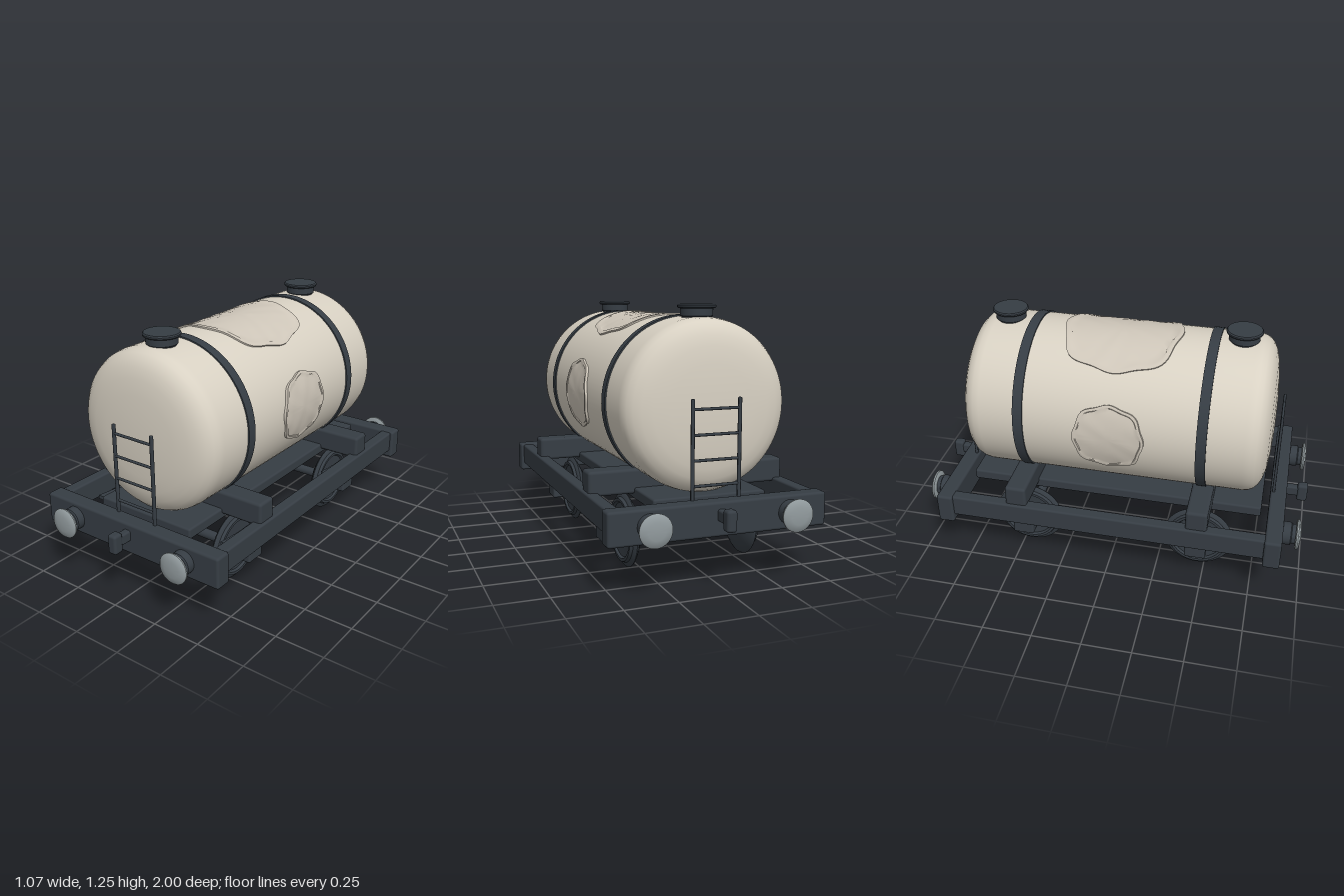
import * as THREE from 'three';
import { RoundedBoxGeometry } from 'three/addons/geometries/RoundedBoxGeometry.js';
import { toCreasedNormals } from 'three/addons/utils/BufferGeometryUtils.js';

const material = (name, color, side = THREE.FrontSide) => {
  const m = new THREE.MeshStandardMaterial({ color, side });
  m.name = name;
  return m;
};

export function createModel() {
  const cream = material('cream tank', 0xd8d1c3);
  const label = material('pale label', 0xcec6b9, THREE.DoubleSide);
  const iron = material('dark iron', 0x363d44);
  const steel = material('buffer steel', 0x929b9e);
  const model = new THREE.Group();
  const TANK_Y = 0.797, TANK_R = 0.405, AXLE_Z = 0.46;

  function add(parent, name, geometry, mat, x = 0, y = 0, z = 0) {
    const mesh = new THREE.Mesh(geometry, mat);
    mesh.name = name;
    mesh.position.set(x, y, z);
    parent.add(mesh);
    return mesh;
  }
  const box = (w, h, d, r = 0.01) => new RoundedBoxGeometry(w, h, d, 2, r);
  const lathe = (pts, seg = 48, crease = 0.6) =>
    toCreasedNormals(new THREE.LatheGeometry(pts.map(p => new THREE.Vector2(...p)), seg), crease);

  // Tank with domed ends
  const cap = [[0, 0.79], [0.1, 0.788], [0.2, 0.782], [0.28, 0.772], [0.33, 0.758],
    [0.365, 0.74], [0.388, 0.717], [0.4, 0.692], [TANK_R, 0.66]];
  const tankProfile = [...cap.map(([r, y]) => [r, -y]), ...cap.slice().reverse()];
  add(model, 'tank', lathe(tankProfile, 96, 0.7).rotateX(Math.PI / 2), cream, 0, TANK_Y, 0);

  // Scalloped label wrapped around the tank; angle is measured from the top
  function labelGeometry(halfZ, halfArc, height, power, angle) {
    const rings = [0, 0.2, 0.4, 0.6, 0.8, 0.9, 0.92, 0.96, 1, 1.0];
    const seg = 96, pos = [], idx = [];
    rings.forEach((k, j) => {
      for (let i = 0; i <= seg; i++) {
        const t = (i / seg) * Math.PI * 2, c = Math.cos(t), s = Math.sin(t);
        const round = Math.pow(Math.abs(c) ** power + Math.abs(s) ** power, -1 / power);
        const r = k * round * (0.97 + 0.03 * Math.cos(8 * t));
        const z = halfZ * r * c, arc = halfArc * r * s;
        const relief = 0.0015 * Math.sin(z * 47 + arc * 19) * Math.cos(arc * 41 - z * 13);
        let h = height - 0.003 + relief;
        if (j >= 6) h = height;
        if (j === rings.length - 1) h = -0.004;
        const a = angle + arc / TANK_R, R = TANK_R + h;
        pos.push(Math.sin(a) * R, Math.cos(a) * R, z);
      }
    });
    for (let j = 0; j < rings.length - 1; j++) {
      for (let i = 0; i < seg; i++) {
        const a = j * (seg + 1) + i, b = a + seg + 1;
        if (j > 0) idx.push(a, b, a + 1);
        idx.push(b, b + 1, a + 1);
      }
    }
    const g = new THREE.BufferGeometry();
    g.setAttribute('position', new THREE.Float32BufferAttribute(pos, 3));
    g.setIndex(idx);
    g.computeVertexNormals();
    return toCreasedNormals(g, 0.6);
  }
  add(model, 'topLabel', labelGeometry(0.3, 0.305, 0.008, 2.6, 0), label, 0, TANK_Y, 0);
  for (const s of [-1, 1]) {
    add(model, 'sideLabel', labelGeometry(0.18, 0.18, 0.013, 2.3, s * Math.PI / 2), label, 0, TANK_Y, 0);
  }

  // Deck and long side beams
  add(model, 'deck', box(0.56, 0.055, 1.54), iron, 0, 0.372, 0);
  for (const s of [-1, 1]) {
    add(model, 'sideBeam', box(0.062, 0.115, 1.66), iron, s * 0.488, 0.332, 0);
  }

  // Curved leaf spring, lowest in the middle
  const springShape = new THREE.Shape();
  springShape.moveTo(-0.19, 0.29);
  springShape.quadraticCurveTo(0, 0.225, 0.19, 0.29);
  springShape.lineTo(0.19, 0.31);
  springShape.quadraticCurveTo(0, 0.285, -0.19, 0.31);
  const springGeometry = new THREE.ExtrudeGeometry(springShape, { depth: 0.06, bevelEnabled: false, curveSegments: 16 });
  springGeometry.translate(0, 0, -0.03).rotateY(Math.PI / 2);

  // Wheel turned about the x axis, hollowed outer face and pointed flange
  const wheelGeometry = lathe([[0, 0.262], [0.09, 0.265], [0.13, 0.273], [0.16, 0.29], [0.178, 0.302],
    [0.181, 0.308], [0.176, 0.313], [0.158, 0.32], [0.152, 0.335], [0.138, 0.335], [0.13, 0.324],
    [0.06, 0.32], [0.052, 0.335], [0, 0.335]]).rotateZ(-Math.PI / 2);

  // Fittings at each end of the tank: wheelset, saddle, band, hatch
  for (const e of [-1, 1]) {
    const z = e * AXLE_Z;
    add(model, 'saddle', box(1.01, 0.12, 0.11, 0.015), iron, 0, 0.43, e * 0.466);
    add(model, 'tankBand', lathe([[0.395, -0.025], [0.412, -0.025], [0.412, 0.025], [0.395, 0.025]], 96)
      .rotateX(Math.PI / 2), iron, 0, TANK_Y, e * 0.457);
    add(model, 'hatch', lathe([[0, 1.16], [0.07, 1.16], [0.07, 1.2], [0.076, 1.205], [0.076, 1.238], [0.086, 1.24],
      [0.09, 1.245], [0.09, 1.252], [0.085, 1.258], [0, 1.258]], 40), iron, 0, 0, e * 0.595);

    const wheelset = new THREE.Group();
    wheelset.name = 'wheelset';
    wheelset.position.z = z;
    model.add(wheelset);
    add(wheelset, 'axle', new THREE.CylinderGeometry(0.025, 0.025, 0.76, 20).rotateZ(Math.PI / 2), iron, 0, 0.184, 0);
    for (const s of [-1, 1]) {
      const wheel = add(wheelset, 'wheel', wheelGeometry, iron, 0, 0.184, 0);
      if (s < 0) wheel.rotation.y = Math.PI;
      add(wheelset, 'axleBox', box(0.078, 0.115, 0.11), iron, s * 0.4, 0.202, 0);
      add(wheelset, 'leafSpring', springGeometry, iron, s * 0.398, 0, 0);
    }
  }

  // End beam with ladder, buffers and coupling, repeated at the back
  for (const turn of [0, Math.PI]) {
    const end = new THREE.Group();
    end.name = turn ? 'backEnd' : 'frontEnd';
    end.rotation.y = turn;
    model.add(end);
    add(end, 'endBeam', box(1.07, 0.16, 0.085, 0.013), iron, 0, 0.315, 0.848);
    add(end, 'coupling', box(0.05, 0.1, 0.055, 0.014), iron, 0, 0.33, 0.972);
    add(end, 'couplingBar', box(0.04, 0.055, 0.1, 0.01), iron, 0, 0.335, 0.92);
    for (const s of [-1, 1]) {
      add(end, 'ladderRail', box(0.017, 0.47, 0.015, 0.005), iron, s * 0.115, 0.615, 0.822);
      add(end, 'bufferStem', lathe([[0, 0.88], [0.058, 0.88], [0.058, 0.93], [0.05, 0.935], [0.05, 0.962], [0, 0.962]], 32)
        .rotateX(Math.PI / 2), iron, s * 0.343, 0.317, 0);
      add(end, 'bufferPlate', lathe([[0, 0.954], [0.068, 0.954], [0.076, 0.959], [0.077, 0.967],
        [0.07, 0.974], [0.04, 0.98], [0, 0.982]], 40).rotateX(Math.PI / 2), steel, s * 0.343, 0.317, 0);
    }
    for (const y of [0.457, 0.573, 0.688, 0.803]) {
      add(end, 'ladderRung', new THREE.CylinderGeometry(0.007, 0.007, 0.23, 10).rotateZ(Math.PI / 2), iron, 0, y, 0.822);
    }
  }
  return model;
}
